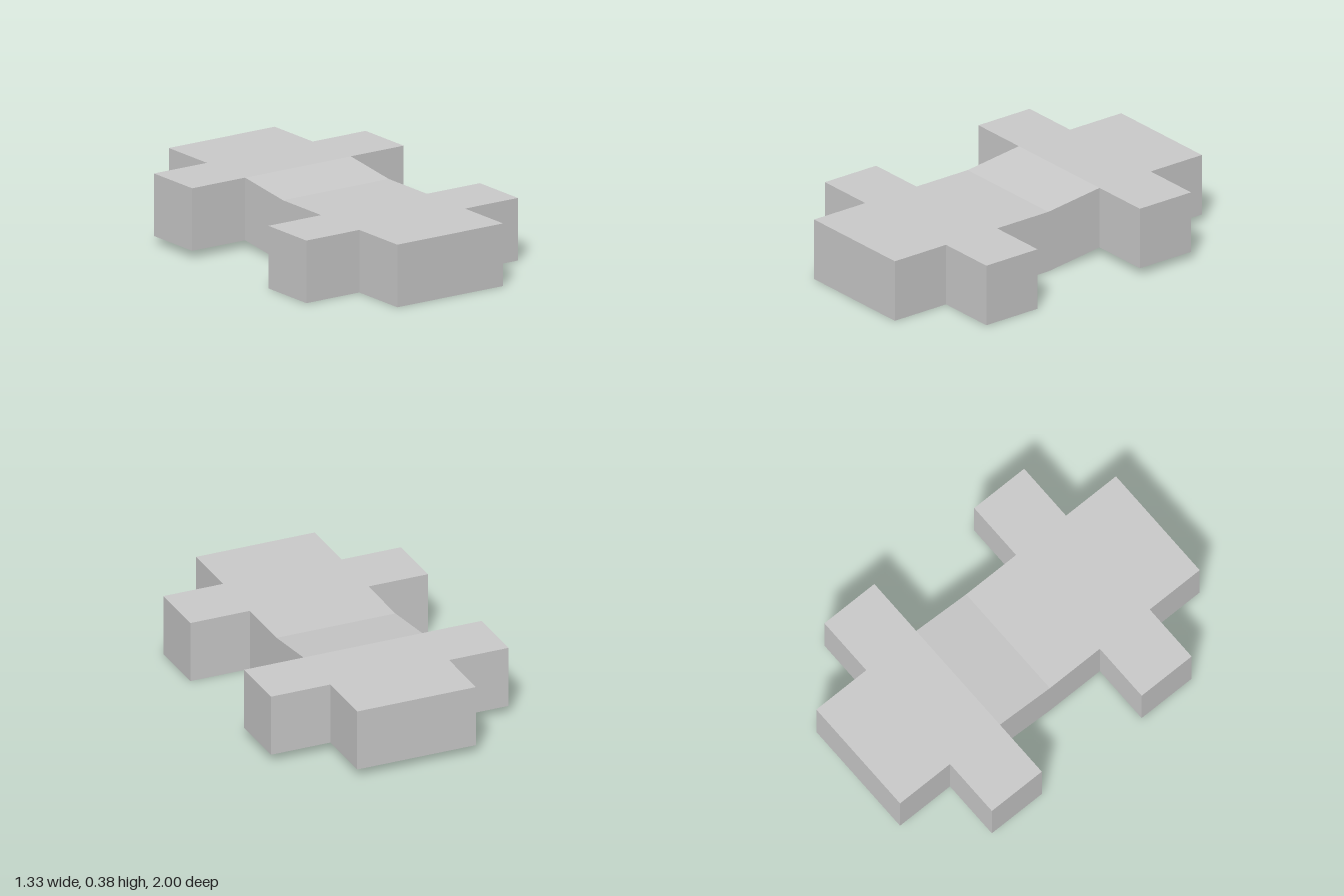
import * as THREE from 'three';

const U = 1 / 3;      // grid unit: thickness, arm length and core half width
const LIFT = 0.042;   // how far the back half is raised

// Underside height: flat front, ramp over one unit, flat raised back
const baseY = (z) => LIFT * THREE.MathUtils.clamp(-z / U, 0, 1);

// Sections from back to front: [zBack, zFront, half width]
const sections = [
  [-1, -2 * U, U],
  [-2 * U, -U, 2 * U],   // back arms
  [-U, 0, U],            // ramp
  [0, U, U],
  [U, 2 * U, 2 * U],     // front arms
  [2 * U, 1, U],
];

function slabGeometry() {
  const pos = [];
  // Four corners, counter-clockwise seen from outside
  const quad = (a, b, c, d, flip = false) => {
    const q = flip ? [a, d, c, a, c, b] : [a, b, c, a, c, d];
    q.forEach((p) => pos.push(...p));
  };

  // Top, underside and long sides of every section
  for (const [z0, z1, w] of sections) {
    const b0 = baseY(z0), b1 = baseY(z1);
    for (const [h, flip] of [[U, false], [0, true]]) {
      quad([-w, b1 + h, z1], [w, b1 + h, z1], [w, b0 + h, z0], [-w, b0 + h, z0], flip);
    }
    for (const [x, flip] of [[w, false], [-w, true]]) {
      quad([x, b1, z1], [x, b0, z0], [x, b0 + U, z0], [x, b1 + U, z1], flip);
    }
  }

  // Upright faces at both ends and wherever the width steps
  for (let i = 0; i <= sections.length; i++) {
    const before = i > 0 ? sections[i - 1][2] : 0;
    const after = i < sections.length ? sections[i][2] : 0;
    if (before === after) continue;
    const z = i < sections.length ? sections[i][0] : sections[i - 1][1];
    const inner = Math.min(before, after), outer = Math.max(before, after);
    const spans = inner === 0 ? [[-outer, outer]] : [[-outer, -inner], [inner, outer]];
    const y = baseY(z);
    for (const [x0, x1] of spans) {
      quad([x0, y, z], [x1, y, z], [x1, y + U, z], [x0, y + U, z], after > before);
    }
  }

  const geometry = new THREE.BufferGeometry();
  geometry.setAttribute('position', new THREE.Float32BufferAttribute(pos, 3));
  geometry.computeVertexNormals();
  return geometry;
}

export function createModel() {
  const group = new THREE.Group();
  group.name = 'doubleCrossSlab';
  const material = new THREE.MeshStandardMaterial({ color: 0xcccccc, flatShading: true });
  const slab = new THREE.Mesh(slabGeometry(), material);
  slab.name = 'slab';
  group.add(slab);
  return group;
}
